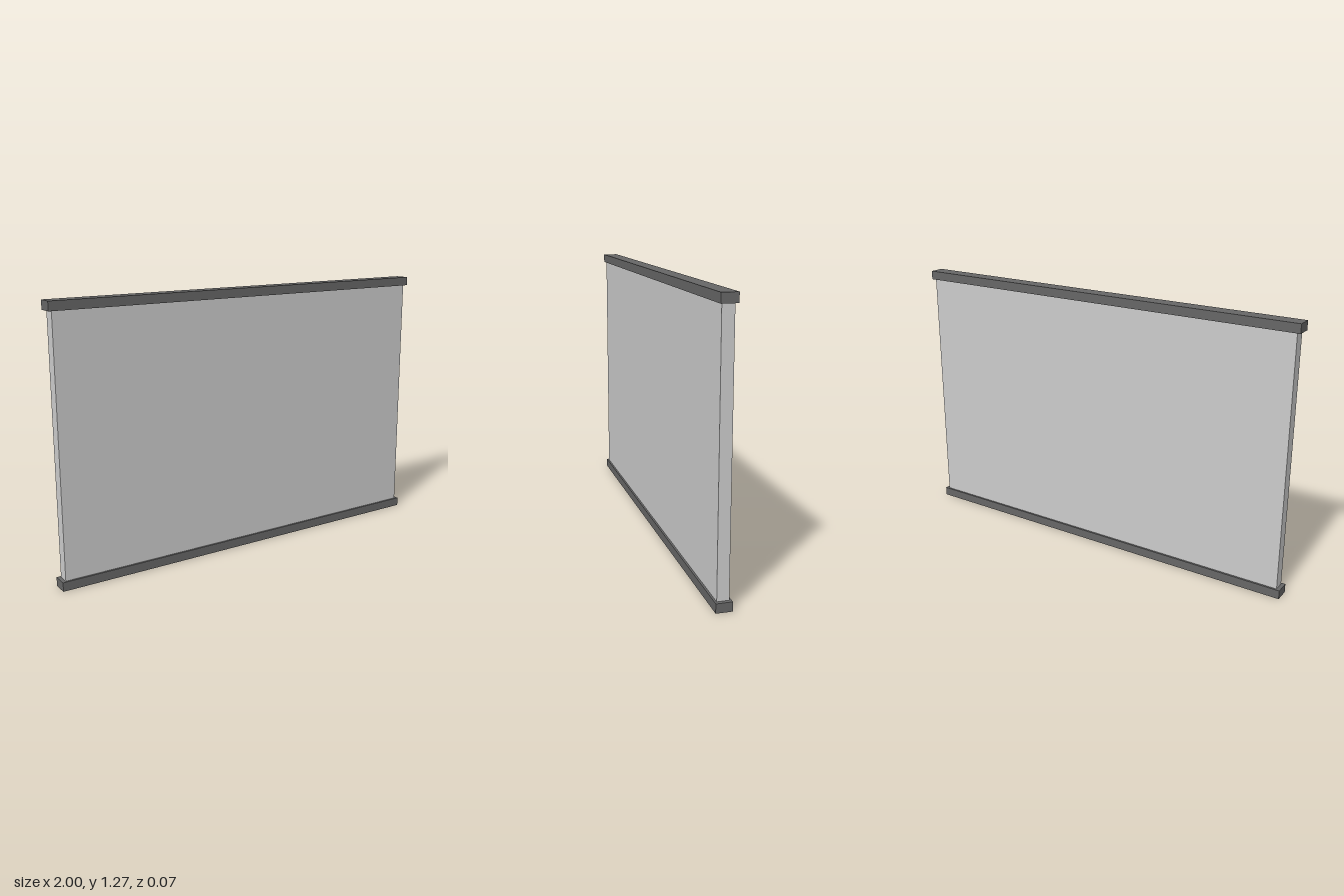
import * as THREE from 'three';

const HEIGHT = 1.27;
const RAIL_HEIGHT = 0.042;

export function createModel() {
  const model = new THREE.Group();
  model.name = 'railedPanel';

  const panelMaterial = new THREE.MeshStandardMaterial({ color: 0xcccccc });
  const railMaterial = new THREE.MeshStandardMaterial({ color: 0x666666 });

  function addBox(name, width, height, depth, y, material) {
    const mesh = new THREE.Mesh(new THREE.BoxGeometry(width, height, depth), material);
    mesh.name = name;
    mesh.position.y = y;
    model.add(mesh);
  }

  // Flat panel held between two slightly wider rails
  addBox('panel', 1.966, HEIGHT - 2 * RAIL_HEIGHT, 0.053, HEIGHT / 2, panelMaterial);
  addBox('bottomRail', 2, RAIL_HEIGHT, 0.072, RAIL_HEIGHT / 2, railMaterial);
  addBox('topRail', 2, RAIL_HEIGHT, 0.072, HEIGHT - RAIL_HEIGHT / 2, railMaterial);

  return model;
}
